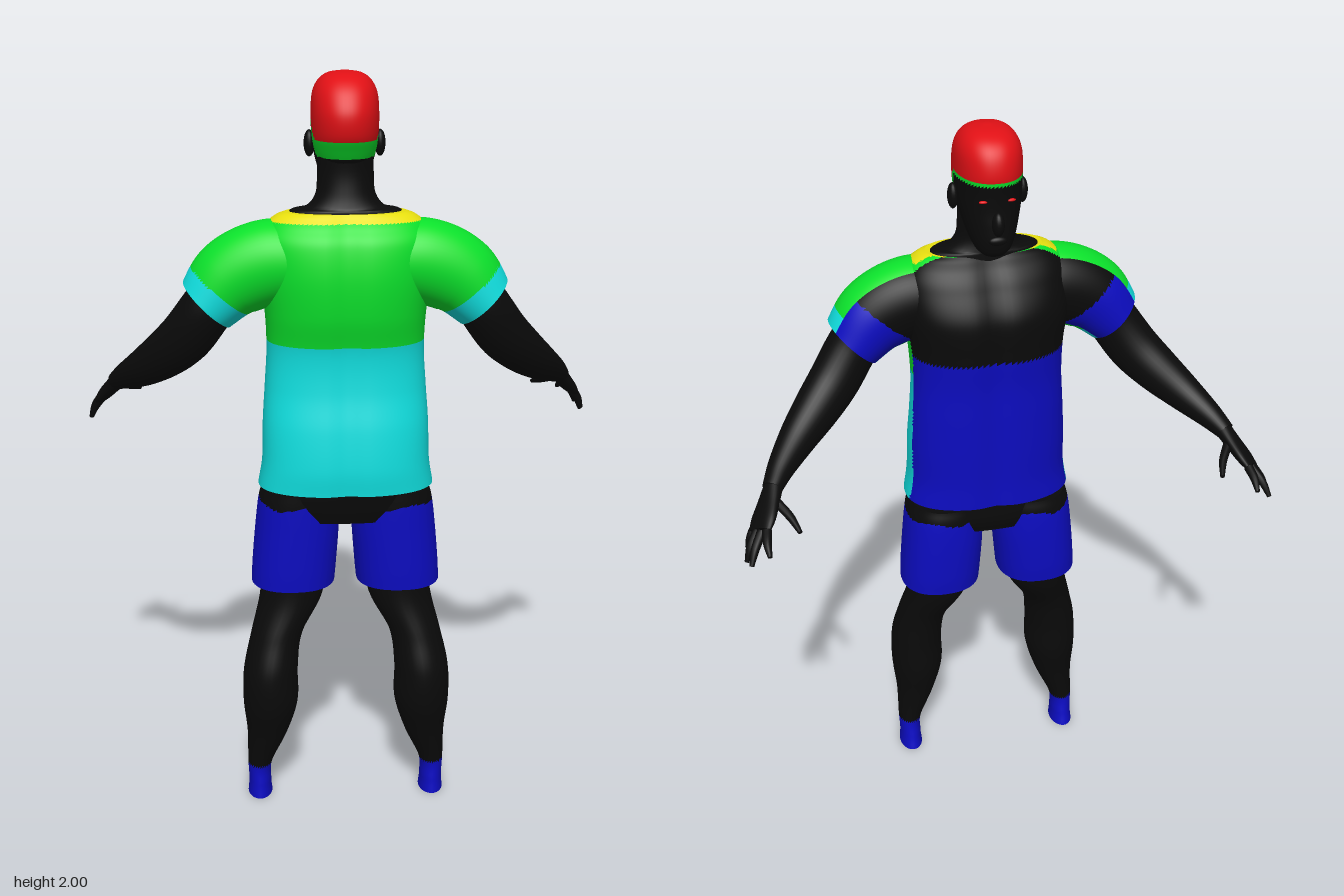
import * as THREE from 'three';

const mat = (name, color) => {
  const m = new THREE.MeshStandardMaterial({ color });
  m.name = name;
  return m;
};

export function createModel() {
  const BLACK = 0, RED = 1, GREEN = 2, CYAN = 3, BLUE = 4, YELLOW = 5;
  const mats = [
    mat('black', 0x0a0a0a), mat('red', 0xe01015), mat('green', 0x0be02b),
    mat('cyan', 0x10dede), mat('blue', 0x0c0cc0), mat('yellow', 0xe8e010),
  ];
  const V = (x, y, z) => new THREE.Vector3(x, y, z);
  const root = new THREE.Group();

  // Skin smooth rings over sections [x, y, z, ra, rb]; paint(point) picks a colour per face.
  // ref: ring axis for limbs; without it the rings stay horizontal.
  function loft(name, sections, { paint = () => BLACK, rows = 24, segs = 32, e = 2, ref, bend, parent = root } = {}) {
    const centre = new THREE.CatmullRomCurve3(sections.map(s => V(s[0], s[1], s[2])), false, 'catmullrom');
    const radii = new THREE.CatmullRomCurve3(sections.map(s => V(s[3], s[4], 0)), false, 'catmullrom');
    const pts = [], faces = [];
    const pw = v => Math.sign(v) * Math.abs(v) ** (2 / e);
    for (let i = 0; i <= rows; i++) {
      const t = i / rows, c = centre.getPoint(t), r = radii.getPoint(t);
      const T = ref ? centre.getTangent(t) : V(0, 1, 0);
      const A = ref ? ref.clone().addScaledVector(T, -ref.dot(T)).normalize() : V(1, 0, 0);
      const B = T.clone().cross(A);
      for (let j = 0; j < segs; j++) {
        const a = j / segs * Math.PI * 2;
        const p = c.clone().addScaledVector(A, pw(Math.cos(a)) * r.x).addScaledVector(B, pw(Math.sin(a)) * r.y);
        if (bend) bend(p);
        pts.push(p);
      }
    }
    for (let i = 0; i < rows; i++) for (let j = 0; j < segs; j++) {
      const a = i * segs + j, b = i * segs + (j + 1) % segs;
      faces.push([a, b, b + segs], [a, b + segs, a + segs]);
    }
    // End caps with their own vertices keep the rims sharp
    for (const end of [0, 1]) {
      const base = end * rows * segs, start = pts.length;
      for (let j = 0; j < segs; j++) pts.push(pts[base + j].clone());
      pts.push(centre.getPoint(end));
      for (let j = 0; j < segs; j++) {
        const a = start + j, b = start + (j + 1) % segs;
        faces.push(end ? [a, b, start + segs] : [b, a, start + segs]);
      }
    }
    const byColour = mats.map(() => []);
    for (const f of faces) {
      const c = V(0, 0, 0);
      f.forEach(k => c.addScaledVector(pts[k], 1 / 3));
      byColour[paint(c)].push(...f);
    }
    const g = new THREE.BufferGeometry().setFromPoints(pts);
    g.setIndex(byColour.flat());
    let at = 0;
    byColour.forEach((list, k) => {
      if (list.length) g.addGroup(at, list.length, k);
      at += list.length;
    });
    g.computeVertexNormals();
    const m = new THREE.Mesh(g, mats);
    m.name = name;
    parent.add(m);
    return m;
  }

  function blob(name, material, pos, size) {
    const m = new THREE.Mesh(new THREE.SphereGeometry(1, 20, 14), mats[material]);
    m.name = name;
    m.position.set(...pos);
    m.scale.set(...size);
    root.add(m);
  }

  // Section from a height, front z, back z and half width
  const slab = ([y, f, b, rx]) => [0, y, (f + b) / 2, rx, (b - f) / 2];

  // Shirt body: painted differently in front and behind
  loft('shirt', [
    [0.93, -0.005, 0.28, 0.233], [1.0, -0.005, 0.284, 0.222], [1.1, -0.008, 0.275, 0.219],
    [1.2, -0.01, 0.257, 0.212], [1.3, -0.012, 0.255, 0.206], [1.4, -0.02, 0.275, 0.21],
    [1.5, -0.02, 0.28, 0.225], [1.58, 0.015, 0.268, 0.225], [1.62, 0.04, 0.245, 0.208],
    [1.645, 0.065, 0.222, 0.18], [1.655, 0.075, 0.212, 0.155],
  ].map(slab), {
    rows: 90, segs: 96, e: 2.4,
    bend: p => { // shallow grooves down the chest and spine
      p.z += (p.z > 0.13 ? -1 : 1) * 0.01 * Math.exp(-((p.x / 0.035) ** 2));
    },
    paint: p => p.z < 0.095 ? (p.y > 1.385 ? BLACK : BLUE)
      : p.y > 1.634 && p.z > 0.11 ? YELLOW : p.y > 1.32 ? GREEN : CYAN,
  });

  // Neck spreading into the collar opening
  loft('neck', [
    [1.62, 0.07, 0.2, 0.145], [1.657, 0.072, 0.203, 0.143], [1.668, 0.072, 0.198, 0.1],
    [1.7, 0.075, 0.19, 0.076], [1.75, 0.07, 0.185, 0.072], [1.81, 0.07, 0.19, 0.07],
  ].map(slab));

  // Head with cap of hair and a thin rim along the hairline
  const step = (z, a, b, lo, hi) => lo + (hi - lo) * THREE.MathUtils.clamp((z - a) / (b - a), 0, 1);
  loft('head', [
    [1.685, 0.0, 0.07, 0.03], [1.7, -0.012, 0.1, 0.046], [1.73, -0.02, 0.145, 0.06],
    [1.77, -0.02, 0.18, 0.072], [1.81, -0.018, 0.205, 0.081], [1.85, -0.02, 0.225, 0.085],
    [1.9, -0.025, 0.228, 0.086], [1.945, -0.015, 0.208, 0.082], [1.975, 0.008, 0.18, 0.068],
    [1.993, 0.045, 0.145, 0.044], [2.0, 0.09, 0.105, 0.008],
  ].map(slab), {
    rows: 80, segs: 64, e: 2.2,
    paint: p => p.y > step(p.z, 0.1, 0.15, 1.888, 1.835) ? RED
      : p.y > step(p.z, 0.1, 0.13, 1.878, 1.79) ? GREEN : BLACK,
  });
  blob('nose', BLACK, [0, 1.78, -0.021], [0.016, 0.032, 0.021]);
  blob('lips', BLACK, [0, 1.735, -0.018], [0.024, 0.012, 0.01]);

  // Hips between shirt and shorts
  loft('hips', [
    [0.84, 0.02, 0.235, 0.19], [0.88, 0.01, 0.25, 0.222], [0.94, 0.01, 0.262, 0.222],
  ].map(slab), { e: 2.4, segs: 64 });

  for (const s of [1, -1]) {
    const side = s > 0 ? 'left' : 'right';
    const mir = list => list.map(([x, ...r]) => [s * x, ...r]);

    blob(side + 'Eye', RED, [s * 0.035, 1.838, -0.011], [0.012, 0.004, 0.006]);
    blob(side + 'Ear', BLACK, [s * 0.09, 1.82, 0.095], [0.014, 0.034, 0.02]);

    // Bare leg ending in an ankle sock
    loft(side + 'Leg', mir([
      [0.243, 0, 0.145, 0.034, 0.056], [0.243, 0.04, 0.148, 0.031, 0.048],
      [0.242, 0.1, 0.152, 0.034, 0.043], [0.22, 0.2, 0.163, 0.056, 0.062],
      [0.21, 0.3, 0.172, 0.075, 0.088], [0.208, 0.4, 0.175, 0.074, 0.09],
      [0.19, 0.5, 0.158, 0.07, 0.083], [0.15, 0.6, 0.13, 0.085, 0.092],
      [0.138, 0.7, 0.121, 0.088, 0.098], [0.13, 0.8, 0.12, 0.09, 0.1],
    ]), { rows: 72, paint: p => p.y < 0.095 ? BLUE : BLACK });

    // Shorts leg with dark upper edge
    loft(side + 'Shorts', mir([
      [0.143, 0.645, 0.122, 0.113, 0.113], [0.139, 0.7, 0.121, 0.114, 0.117],
      [0.131, 0.8, 0.121, 0.113, 0.12], [0.127, 0.88, 0.123, 0.107, 0.12],
      [0.122, 0.92, 0.127, 0.1, 0.116],
    ]), {
      rows: 44, segs: 48, e: 2.3,
      paint: p => p.y > 0.882 + 0.006 * Math.sin(p.x * 45) ? BLACK : BLUE,
    });

    // Sleeve: cuff is narrow behind and wide in front
    loft(side + 'Sleeve', mir([
      [0.1, 1.53, 0.15, 0.1, 0.1], [0.2, 1.526, 0.15, 0.1, 0.11],
      [0.29, 1.488, 0.148, 0.096, 0.105], [0.357, 1.42, 0.145, 0.092, 0.084],
    ]), {
      ref: V(0, 0, 1), rows: 48, segs: 64,
      paint: p => {
        const d = 0.66 * Math.abs(p.x) - 0.75 * p.y + 0.829;
        return p.z > 0.095 ? (d > -0.05 ? CYAN : GREEN) : (d > -0.11 ? BLUE : BLACK);
      },
    });

    // Arm, palm and fingers
    const across = V(-0.39 * s, 0.23, -0.89);
    loft(side + 'Arm', mir([
      [0.32, 1.46, 0.145, 0.066, 0.068], [0.365, 1.395, 0.138, 0.066, 0.07],
      [0.415, 1.325, 0.112, 0.063, 0.07], [0.47, 1.27, 0.072, 0.058, 0.064],
      [0.53, 1.22, 0.018, 0.048, 0.052], [0.585, 1.178, -0.05, 0.036, 0.037],
      [0.618, 1.15, -0.105, 0.028, 0.025],
    ]), { ref: across, rows: 40 });

    const hand = new THREE.Group();
    hand.name = side + 'Hand';
    root.add(hand);
    loft('palm', mir([
      [0.61, 1.157, -0.092, 0.026, 0.024], [0.63, 1.13, -0.13, 0.036, 0.021],
      [0.65, 1.103, -0.168, 0.045, 0.019], [0.664, 1.084, -0.194, 0.043, 0.014],
    ]), { ref: across, parent: hand });
    const digit = (name, a, b, c) => loft(name, mir([
      [...a, 0.013, 0.013], [...b, 0.011, 0.011], [...c, 0.006, 0.006],
    ]), { ref: across, rows: 10, segs: 12, parent: hand });
    digit('indexFinger', [0.648, 1.095, -0.215], [0.652, 1.08, -0.25], [0.65, 1.06, -0.283]);
    digit('middleFinger', [0.66, 1.088, -0.203], [0.682, 1.058, -0.234], [0.697, 1.022, -0.258]);
    digit('ringFinger', [0.668, 1.083, -0.184], [0.692, 1.048, -0.205], [0.706, 1.01, -0.217]);
    digit('littleFinger', [0.67, 1.082, -0.16], [0.688, 1.055, -0.17], [0.699, 1.025, -0.173]);
    digit('thumb', [0.617, 1.133, -0.135], [0.585, 1.11, -0.185], [0.566, 1.09, -0.234]);
  }

  return root;
}
